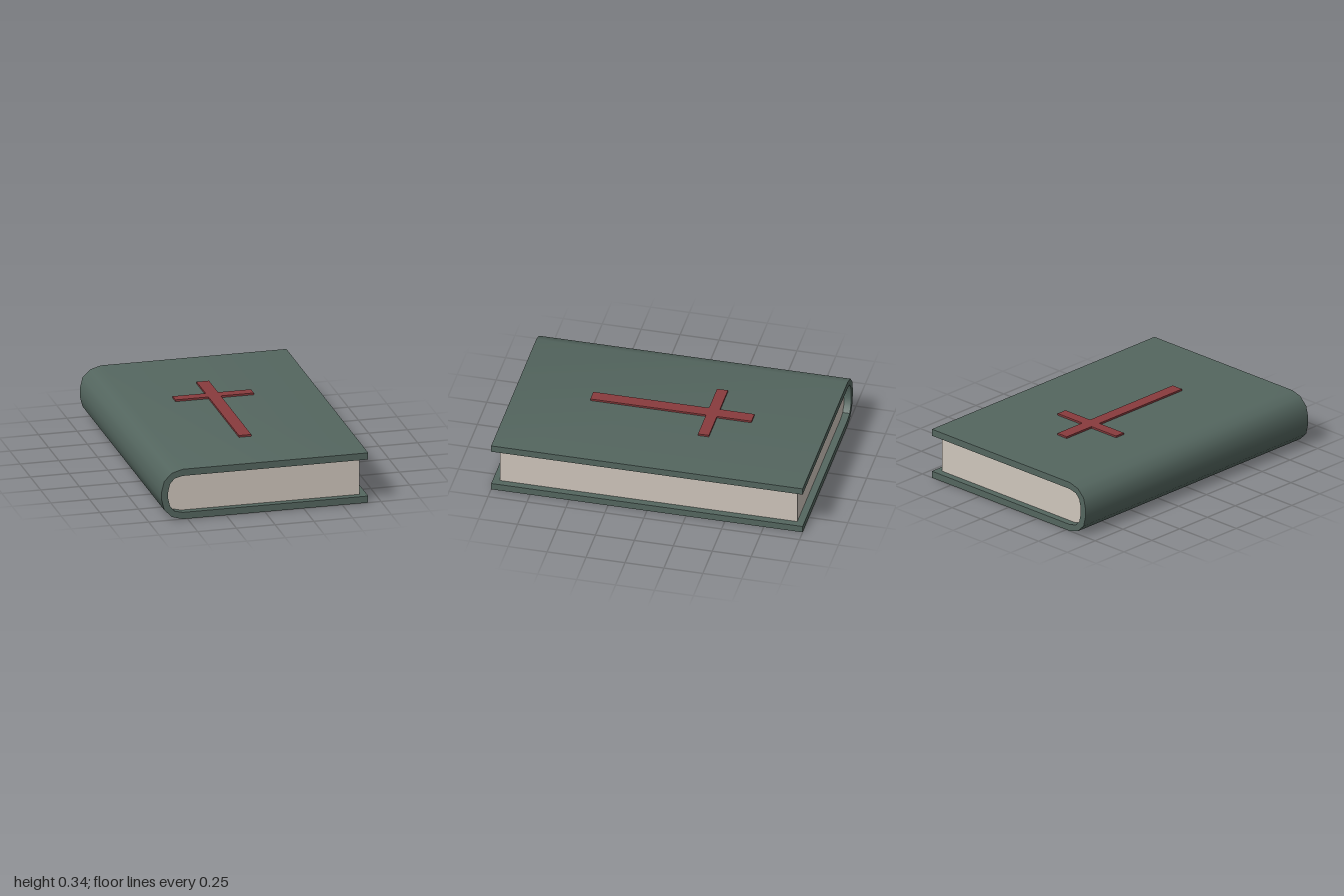
import * as THREE from 'three';
import { toCreasedNormals } from 'three/addons/utils/BufferGeometryUtils.js';

const HEIGHT = 0.33;

// Lower half of each rounded spine curve, from the flat board to mid height
const OUTER = [[-0.53, 0], [-0.6, 0.02], [-0.65, 0.07], [-0.667, 0.14]];
const INNER = [[-0.53, 0.044], [-0.583, 0.057], [-0.612, 0.09], [-0.625, 0.145]];

// Mirror a half curve about mid height to get the whole C, bottom to top
const wholeCurve = (half) => [...half, ...half.map(([x, y]) => [x, HEIGHT - y]).reverse()];

const shapeOf = (points) => new THREE.Shape(points.map(([x, y]) => new THREE.Vector2(x, y)));

// Extrude an outline evenly to both sides of its plane
function slab(points, depth) {
  const geometry = new THREE.ExtrudeGeometry(shapeOf(points), { depth, bevelEnabled: false });
  geometry.translate(0, 0, -depth / 2);
  return geometry;
}

export function createModel() {
  const green = new THREE.MeshStandardMaterial({ name: 'dark green cover', color: 0x54665f });
  const cream = new THREE.MeshStandardMaterial({ name: 'cream paper', color: 0xcfc6bc });
  const red = new THREE.MeshStandardMaterial({ name: 'deep red', color: 0x893b3d });

  const book = new THREE.Group();
  book.name = 'book';
  const add = (name, geometry, material) => {
    const mesh = new THREE.Mesh(geometry, material);
    mesh.name = name;
    book.add(mesh);
    return mesh;
  };

  // Two boards and the rounded spine as one C-shaped section
  const outer = wholeCurve(OUTER);
  const inner = wholeCurve(INNER);
  const coverOutline = [
    [0.667, 0], ...outer, [0.667, HEIGHT],
    [0.667, HEIGHT - 0.044], ...inner.slice().reverse(), [0.667, 0.044],
  ];
  add('cover', toCreasedNormals(slab(coverOutline, 2), 0.6), green);

  // Page block fills the cover and stops short of its edges
  const pageOutline = [[0.622, 0.044], ...inner, [0.622, HEIGHT - 0.044]];
  add('pages', toCreasedNormals(slab(pageOutline, 1.91), 0.6), cream);

  // Raised cross lying on the front board, its long arm towards +z
  const w = 0.04;
  const crossOutline = [
    [-w, -0.515], [w, -0.515], [w, 0.228], [0.253, 0.228], [0.253, 0.298], [w, 0.298],
    [w, 0.52], [-w, 0.52], [-w, 0.298], [-0.253, 0.298], [-0.253, 0.228], [-w, 0.228],
  ];
  const cross = add('cross', slab(crossOutline, 0.014), red);
  cross.rotation.x = -Math.PI / 2;
  cross.position.y = HEIGHT + 0.005;

  return book;
}
